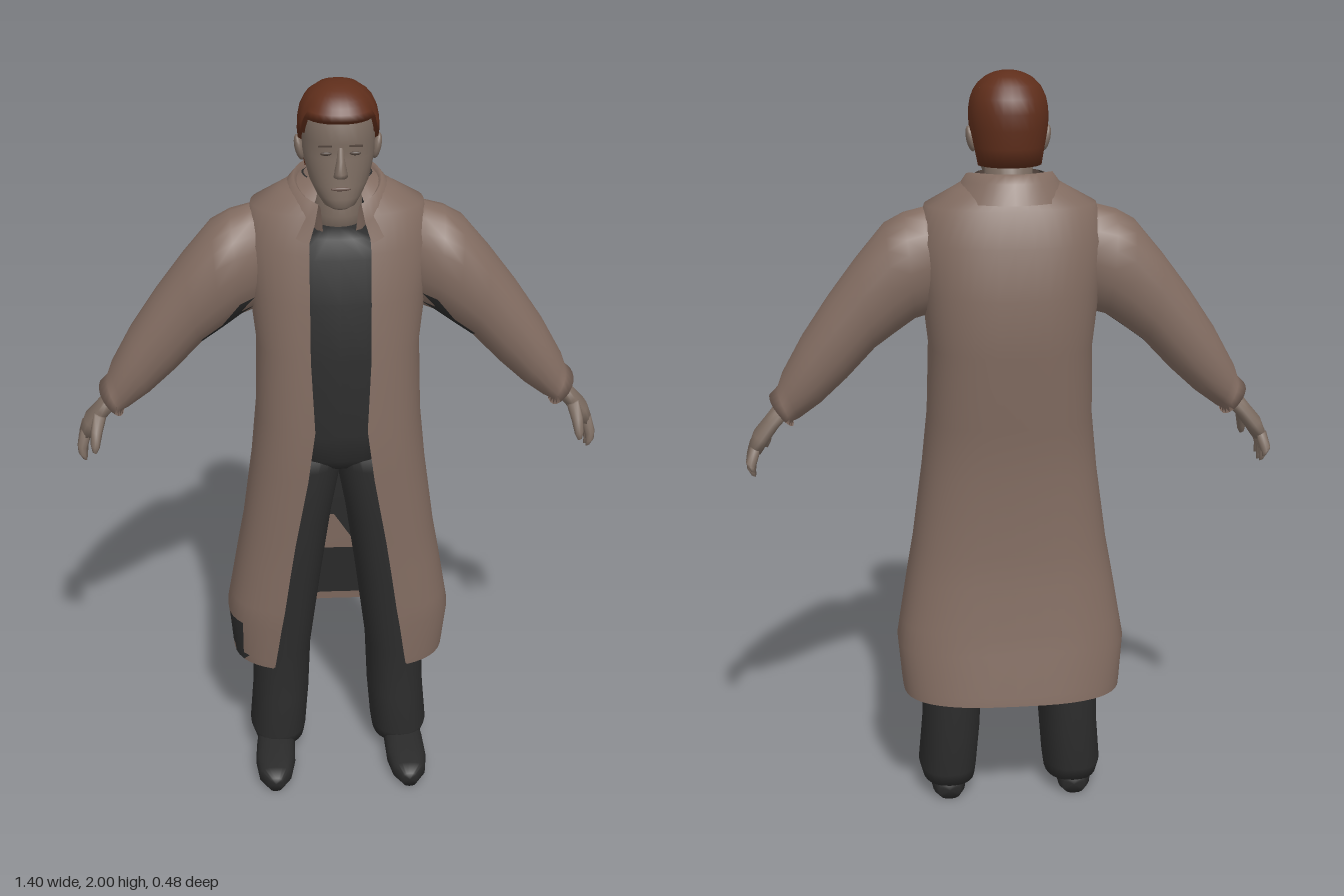
import * as THREE from 'three';

const mat = (name, color, side = THREE.FrontSide) => {
  const m = new THREE.MeshStandardMaterial({ color, side });
  m.name = name;
  return m;
};

// Superellipse corner: p below 1 makes the section boxier
const pw = (v, p) => Math.sign(v) * Math.abs(v) ** p;

// Ring around centre c with half-axis vectors u and v
function ring(c, u, v, p = 1, n = 20, t0 = 0) {
  const open = t0 > 0, pts = [];
  for (let i = 0; i < (open ? n + 1 : n); i++) {
    const t = t0 + (2 * Math.PI - 2 * t0) * i / n;
    const a = pw(Math.sin(t), p), b = pw(Math.cos(t), p);
    pts.push([0, 1, 2].map(k => c[k] + u[k] * a + v[k] * b));
  }
  return pts;
}
// Horizontal ring from side to side (x1..x2) and back to front
const flat = (y, x1, x2, zf, zb, p = 0.85, n = 24, t0 = 0) =>
  ring([(x1 + x2) / 2, y, (zf + zb) / 2], [(x2 - x1) / 2, 0, 0], [0, 0, (zf - zb) / 2], p, n, t0);
// Ring spanned between two points in the xy plane, with a z range
const slant = ([ax, ay, bx, by, zf, zb, p = 0.9], n = 20) =>
  ring([(ax + bx) / 2, (ay + by) / 2, (zf + zb) / 2], [(ax - bx) / 2, (ay - by) / 2, 0], [0, 0, (zf - zb) / 2], p, n);

// Skin a list of rings; faces are turned outward by the signed volume, or inward on request
function loft(rings, { closed = true, cap = true, inward = false } = {}) {
  const n = rings[0].length, pos = rings.flat(), idx = [];
  for (let r = 0; r < rings.length - 1; r++)
    for (let i = 0; i < (closed ? n : n - 1); i++) {
      const a = r * n + i, b = r * n + (i + 1) % n;
      idx.push([a, b, a + n], [b, b + n, a + n]);
    }
  if (cap) for (const r of [0, rings.length - 1]) {
    const mid = [0, 1, 2].map(k => rings[r].reduce((s, q) => s + q[k], 0) / n);
    pos.push(mid);
    for (let i = 0; i < n; i++) {
      const a = r * n + i, b = r * n + (i + 1) % n;
      idx.push(r ? [a, b, pos.length - 1] : [b, a, pos.length - 1]);
    }
  }
  const o = [0, 1, 2].map(k => pos.reduce((s, q) => s + q[k], 0) / pos.length);
  const P = pos.map(q => new THREE.Vector3(q[0] - o[0], q[1] - o[1], q[2] - o[2]));
  const vol = idx.reduce((s, [a, b, c]) => s + P[a].dot(P[b].clone().cross(P[c])), 0);
  const g = new THREE.BufferGeometry();
  g.setAttribute('position', new THREE.Float32BufferAttribute(pos.flat(), 3));
  g.setIndex(idx.flatMap(([a, b, c]) => (vol > 0) !== inward ? [a, b, c] : [a, c, b]));
  g.computeVertexNormals();
  return g;
}
const mirror = (rings, s) => rings.map(r => r.map(([x, y, z]) => [s * x, y, z]));

// Move faces whose centre passes the test into a second material group
function patch(g, test) {
  const p = g.attributes.position, ix = g.index.array, parts = [[], []];
  for (let i = 0; i < ix.length; i += 3) {
    const f = [ix[i], ix[i + 1], ix[i + 2]];
    const m = ['getX', 'getY', 'getZ'].map(k => f.reduce((s, j) => s + p[k](j), 0) / 3);
    parts[test(...m) ? 1 : 0].push(...f);
  }
  g.setIndex(parts.flat());
  g.addGroup(0, parts[0].length, 0);
  g.addGroup(parts[0].length, parts[1].length, 1);
  return g;
}

export function createModel() {
  const coat = mat('coat brown', 0x826c61, THREE.DoubleSide);
  const dark = mat('charcoal cloth', 0x2c2c2c, THREE.DoubleSide), shoe = mat('shoe black', 0x292929);
  const skin = mat('skin', 0x7c6c61), feature = mat('face shade', 0x51443c);
  const lip = mat('lip', 0x6a544b), hair = mat('hair auburn', 0x5f2e1b, THREE.DoubleSide);
  const model = new THREE.Group();
  const add = (name, g, m) => {
    const mesh = new THREE.Mesh(g, m);
    mesh.name = name;
    model.add(mesh);
    return mesh;
  };

  // Long open coat: y, half width, front z, back z, half opening, roundness
  const rows = [
    [1.745, 0.09, 0.04, -0.13, 0.05, 1], [1.71, 0.15, 0.065, -0.155, 0.06, 1], [1.67, 0.222, 0.085, -0.178, 0.075, 0.95],
    [1.58, 0.245, 0.11, -0.205, 0.08, 0.85], [1.45, 0.232, 0.135, -0.225, 0.08, 0.8], [1.3, 0.215, 0.15, -0.222, 0.08, 0.75],
    [1.1, 0.22, 0.165, -0.195, 0.07, 0.75], [0.95, 0.235, 0.165, -0.183, 0.09, 0.75], [0.75, 0.262, 0.155, -0.185, 0.125, 0.72],
    [0.65, 0.28, 0.152, -0.194, 0.14, 0.71], [0.53, 0.3, 0.15, -0.207, 0.157, 0.7], [0.47, 0.31, 0.148, -0.217, 0.167, 0.7],
    [0.36, 0.3, 0.142, -0.235, 0.183, 0.7], [0.335, 0.297, 0.14, -0.238, 0.187, 0.7]];
  const coatRings = inset => rows.map(([y, rx, zf, zb, o, p]) =>
    flat(y, inset - rx, rx - inset, zf - inset, zb + inset, p, 40, Math.asin((o / rx) ** (1 / p))));
  const sheet = { closed: false, cap: false };
  add('coat', patch(loft(coatRings(0), sheet), (x, y, z) => x < -0.265 && y < 0.47 && z > 0.02), [coat, dark]);
  // Lining just inside: charcoal down the middle of the back, brown elsewhere
  add('coatLining', patch(loft(coatRings(0.005), { ...sheet, inward: true }), (x, y, z) =>
    z < 0 && Math.abs(x) < 0.2 && y > 0.36 && !(y > 0.53 && y < 0.65 && x > -0.06 && x < 0.04)), [coat, dark]);

  // Turned-down collar with drooping front tips
  const collar = [[0.085, 1.67, 0.095], [0.1, 1.745, 0.11], [0.112, 1.757, 0.122], [0.132, 1.735, 0.142], [0.165, 1.685, 0.166]]
    .map(([rx, y, rz], k) => {
      const pts = [];
      for (let i = 0; i <= 28; i++) {
        const t = 0.5 + (2 * Math.PI - 1) * i / 28, f = ((1 + Math.cos(t)) / 2) ** 2;
        pts.push([rx * Math.sin(t), y - f * (k > 2 ? 0.09 : 0.06), -0.02 + rz * Math.cos(t) * (1 - 0.04 * k * f)]);
      }
      return pts;
    });
  add('collar', loft(collar, sheet), coat);

  // Shirt and hips
  add('shirt', loft([[0.96, 0.08, 0.1, -0.1], [1.0, 0.165, 0.135, -0.13], [1.08, 0.195, 0.148, -0.15], [1.3, 0.195, 0.14, -0.18],
    [1.45, 0.2, 0.125, -0.18], [1.56, 0.19, 0.1, -0.16], [1.61, 0.1, 0.085, -0.1], [1.635, 0.05, 0.07, -0.08]]
    .map(([y, rx, zf, zb]) => flat(y, -rx, rx, zf, zb, 0.8))), dark);

  for (const s of [1, -1]) {
    const side = s > 0 ? 'left' : 'right';
    const part = (name, rings, m) => add(side + name, loft(mirror(rings, s)), m);

    // Trouser leg
    part('TrouserLeg', [[0.045, 0.1, 0.245, 0.09, -0.12], [0.08, 0.095, 0.255, 0.105, -0.13], [0.2, 0.085, 0.245, 0.098, -0.138],
      [0.36, 0.078, 0.24, 0.1, -0.142], [0.6, 0.048, 0.22, 0.12, -0.135], [0.8, 0.02, 0.21, 0.13, -0.13], [0.96, -0.01, 0.195, 0.13, -0.13],
      [1.05, -0.02, 0.18, 0.12, -0.12]].map(r => flat(...r)), dark);

    // Shoe, skinned from heel to toe: z, centre x, half width, height
    part('Shoe', [[-0.11, 0.175, 0.03, 0.05], [-0.09, 0.176, 0.045, 0.075], [0, 0.18, 0.05, 0.09], [0.08, 0.185, 0.055, 0.08],
      [0.15, 0.188, 0.056, 0.065], [0.21, 0.19, 0.046, 0.058], [0.243, 0.19, 0.02, 0.045]]
      .map(([z, x, w, h]) => ring([x, h / 2, z], [w, 0, 0], [0, h / 2, 0], 0.75)), shoe);

    // Sleeve and flared cuff: upper point, lower point, z range, roundness
    const sleeve = [[0.12, 1.64, 0.16, 1.42, 0.02, -0.12, 1], [0.225, 1.662, 0.215, 1.38, 0.058, -0.142, 1], [0.275, 1.648, 0.25, 1.37, 0.074, -0.149, 0.95],
      [0.325, 1.62, 0.3, 1.335, 0.078, -0.148], [0.4, 1.53, 0.355, 1.295, 0.068, -0.14], [0.475, 1.43, 0.43, 1.215, 0.06, -0.132],
      [0.545, 1.325, 0.5, 1.15, 0.055, -0.125], [0.6, 1.225, 0.555, 1.11, 0.045, -0.11], [0.613, 1.188, 0.575, 1.1, 0.035, -0.1],
      [0.635, 1.165, 0.573, 1.088, 0.047, -0.108]].map(r => slant(r));
    add(side + 'Sleeve', patch(loft(mirror(sleeve, s)), (x, y, z) =>
      Math.abs(x) > 0.23 && Math.abs(x) < 0.35 && y < 1.645 - 0.917 * Math.abs(x) && z > -0.06), [coat, dark]);

    // Hand: palm, four fingers and thumb
    part('Palm', [[0.615, 1.15, 0.585, 1.11, 0.01, -0.065], [0.648, 1.108, 0.612, 1.082, 0.008, -0.072],
      [0.68, 1.07, 0.638, 1.048, 0.012, -0.087], [0.695, 1.03, 0.66, 1.016, 0.003, -0.087]].map(r => slant(r, 12)), skin);
    const digit = (name, path) => part(name, path.map(([x, y, z, r]) =>
      ring([x, y, z], [r, r * 0.45, 0], [0, 0, r], 1, 8)), skin);
    for (let i = 0; i < 4; i++) {
      const z = -0.012 - i * 0.021, tip = z + (1.3 - i) * 0.011, drop = [0.01, 0, 0.006, 0.028][i];
      digit('Finger' + (i + 1), [[0.676, 1.035, z, 0.014], [0.688, 0.995, (z + tip) / 2, 0.013],
        [0.688, 0.965 + drop, tip, 0.011], [0.683, 0.95 + drop, tip, 0.006]]);
    }
    digit('Thumb', [[0.635, 1.09, 0, 0.016], [0.645, 1.055, 0.028, 0.015], [0.65, 1.02, 0.043, 0.012], [0.652, 1.002, 0.047, 0.006]]);

    // Ear, eye and brow
    const ear = add(side + 'Ear', new THREE.SphereGeometry(1, 12, 10), skin);
    ear.scale.set(0.012, 0.034, 0.02);
    ear.position.set(s * 0.097, 1.828, 0);
    ear.rotation.z = -s * 0.2;
    const eye = add(side + 'Eye', new THREE.SphereGeometry(1, 10, 8), feature);
    eye.scale.set(0.014, 0.005, 0.004);
    eye.position.set(s * 0.036, 1.847, 0.109);
    const brow = add(side + 'Brow', new THREE.BoxGeometry(0.034, 0.004, 0.005), feature);
    brow.position.set(s * 0.038, 1.866, 0.109);
    brow.rotation.set(0, s * 0.25, -s * 0.08);
  }

  // Neck and head
  add('neck', loft([[1.6, 0.07, 0.06, -0.09], [1.66, 0.062, 0.058, -0.08], [1.78, 0.062, 0.06, -0.08]]
    .map(([y, r, f, b]) => flat(y, -r, r, f, b, 1))), skin);
  add('head', loft([[1.7, 0.025, 0.108, 0.05], [1.708, 0.042, 0.118, 0.01], [1.73, 0.058, 0.121, -0.03], [1.76, 0.074, 0.117, -0.055],
    [1.8, 0.085, 0.114, -0.075], [1.83, 0.09, 0.112, -0.085], [1.85, 0.091, 0.11, -0.09], [1.87, 0.092, 0.113, -0.095],
    [1.92, 0.092, 0.112, -0.095], [1.96, 0.08, 0.09, -0.085], [1.98, 0.05, 0.05, -0.05]]
    .map(([y, r, f, b]) => flat(y, -r, r, f, b, 0.92, 28))), skin);
  add('nose', loft([[1.862, 0.008, 0.113], [1.83, 0.011, 0.124], [1.8, 0.016, 0.138], [1.788, 0.018, 0.132], [1.784, 0.012, 0.118]]
    .map(([y, w, z]) => flat(y, -w, w, z, 0.09, 1, 12))), skin);
  const mouth = add('mouth', new THREE.SphereGeometry(1, 12, 8), lip);
  mouth.scale.set(0.025, 0.005, 0.004);
  mouth.position.set(0, 1.757, 0.116);

  // Hair cap: hairline drops from the forehead, past the ears, to the nape
  const hairRings = [0, 0.2, 0.4, 0.58, 0.74, 0.87, 0.96, 1].map(q => {
    const pts = [];
    for (let i = 0; i < 32; i++) {
      const t = 2 * Math.PI * i / 32, c = Math.cos(t);
      const low = c > 0.5 ? 1.93 : c > 0.05 ? 1.885 : c > -0.2 ? 1.85 : 1.765;
      const y = low + (1.998 - low) * q;
      const k = Math.sqrt(Math.max(0, 1 - (Math.max(0, y - 1.87) / 0.13) ** 3)) * (y < 1.87 ? 1 - (1.87 - y) * 1.4 : 1);
      const front = q === 0 && c > 0.5 ? 1 : k;
      pts.push([0.103 * pw(Math.sin(t), 0.9) * front, y, 0.005 + 0.118 * pw(c, 0.9) * front]);
    }
    return pts;
  });
  add('hair', loft(hairRings), hair);

  return model;
}
